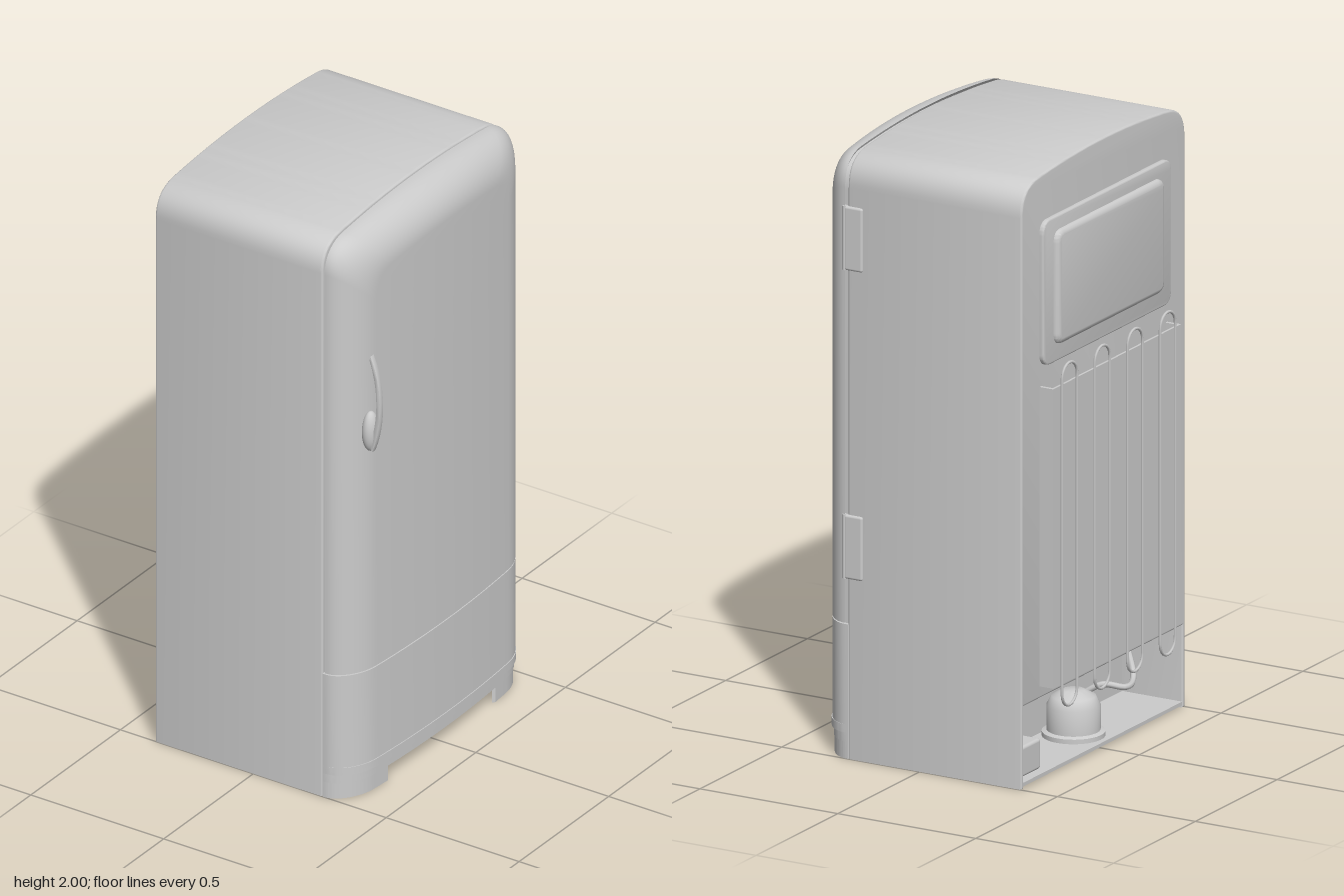
import * as THREE from 'three';
import { toCreasedNormals } from 'three/addons/utils/BufferGeometryUtils.js';
import { RoundedBoxGeometry } from 'three/addons/geometries/RoundedBoxGeometry.js';

const grey = new THREE.MeshStandardMaterial({ color: 0xcccccc, side: THREE.DoubleSide });

export function createModel() {
  const group = new THREE.Group();
  const add = (name, geo, x = 0, y = 0, z = 0) => {
    const m = new THREE.Mesh(geo, grey);
    m.name = name;
    m.position.set(x, y, z);
    group.add(m);
    return m;
  };
  const box = (name, x0, x1, y0, y1, z0, z1, r = 0) => {
    const s = [x1 - x0, y1 - y0, z1 - z0];
    const geo = r ? new RoundedBoxGeometry(...s, 3, r) : new THREE.BoxGeometry(...s);
    return add(name, geo, (x0 + x1) / 2, (y0 + y1) / 2, (z0 + z1) / 2);
  };

  // Arched cabinet outline as [z, y], from the bottom at +z over the top to -z
  const outline = (bottom) => {
    const path = new THREE.Path();
    path.moveTo(0.5, bottom);
    path.lineTo(0.5, 1.87);
    path.quadraticCurveTo(0.5, 1.965, 0.4, 1.978);
    path.quadraticCurveTo(0.2, 2, 0, 2);
    const half = path.getPoints(14);
    const mirrored = half.slice(0, -1).reverse().map((p) => new THREE.Vector2(-p.x, p.y));
    return [...half, ...mirrored];
  };

  // Extrude a z-y shape along x, from x0 to x1
  const extrudeX = (shape, x0, x1, bevel = 0) => {
    const geo = new THREE.ExtrudeGeometry(shape, {
      depth: x1 - x0 - 2 * bevel, bevelEnabled: bevel > 0, bevelSize: bevel,
      bevelThickness: bevel, bevelOffset: -bevel, bevelSegments: 3, curveSegments: 12,
    });
    geo.translate(0, 0, x0 + bevel);
    geo.rotateY(Math.PI / 2);
    return toCreasedNormals(geo, 0.6);
  };

  // Cabinet with an open machine bay underneath
  const bay = [[-0.485, 0], [-0.485, 0.27], [0.485, 0.27], [0.485, 0]].map((p) => new THREE.Vector2(...p));
  add('cabinet', extrudeX(new THREE.Shape([...outline(0), ...bay]), -0.37, 0.26, 0.007));

  // Door seal, set in a little from the cabinet edge
  const sealPoints = outline(0.45).map((p) => new THREE.Vector2(p.x * 0.975, p.y - 0.013));
  add('doorSeal', extrudeX(new THREE.Shape(sealPoints), 0.25, 0.28));

  // Front surface: rounded edge plus a gentle crown across the width
  const edge = (d) => (d < 0.13 ? Math.sqrt(1 - (1 - d / 0.13) ** 2) : 1);
  const frontX = (d, z) => 0.27 + (0.09 + 0.03 * (1 - 4 * z * z)) * edge(d);

  // Door: nested outlines that shrink towards the centre line
  const doorBottom = 0.444;
  const base = outline(doorBottom);
  const height = 2 - doorBottom;
  const insets = [0];
  for (let i = 1; i <= 14; i++) insets.push(0.13 * (1 - Math.cos((i / 14) * Math.PI / 2)));
  for (let i = 1; i <= 10; i++) insets.push(0.13 + 0.037 * i);
  const pos = [], index = [], n = base.length;
  insets.forEach((d, i) => {
    for (const p of base) {
      const z = p.x * (0.5 - d) / 0.5;
      const y = doorBottom + (p.y - doorBottom) * (height - d) / height;
      pos.push(frontX(d, z), y, z);
    }
    if (i === insets.length - 1) return;
    for (let j = 0; j < n - 1; j++) {
      const a = i * n + j, b = a + 1, c = a + n, e = c + 1;
      index.push(a, c, b, b, c, e);
    }
  });
  const door = new THREE.BufferGeometry();
  door.setAttribute('position', new THREE.Float32BufferAttribute(pos, 3));
  door.setIndex(index);
  door.computeVertexNormals();
  add('door', door);

  // Curved plinth bands below the door, as thin shells
  const band = (name, z0, z1, grow, y0, y1) => {
    const outer = [], inner = [];
    for (let i = 0; i <= 64; i++) {
      const t = i / 64;
      const z = z0 + (z1 - z0) * (0.5 - 0.5 * Math.cos(t * Math.PI));
      const x = frontX(0.5 - Math.abs(z), z);
      outer.push(new THREE.Vector2(x + grow, -z));
      inner.push(new THREE.Vector2(x - 0.015, -z * 0.97));
    }
    if (z0 === -0.5) outer.unshift(new THREE.Vector2(0.26, 0.5));
    if (z1 === 0.5) outer.push(new THREE.Vector2(0.26, -0.5));
    const geo = new THREE.ExtrudeGeometry(new THREE.Shape([...outer, ...inner.reverse()]),
      { depth: y1 - y0, bevelEnabled: false });
    geo.rotateX(-Math.PI / 2);
    add(name, toCreasedNormals(geo, 0.6), 0, y0, 0);
  };
  band('plinthPanel', -0.5, 0.5, 0, 0.112, 0.44);
  band('plinthRib', -0.5, 0.5, 0.003, 0.085, 0.112);
  band('plinthGroove', -0.5, 0.5, -0.005, 0.055, 0.085);
  band('plinthFootRight', -0.5, -0.3, -0.008, 0, 0.055);
  band('plinthFootLeft', 0.3, 0.5, -0.008, 0, 0.055);
  box('kickBar', 0.24, 0.29, 0, 0.05, -0.3, 0.3);

  // Door handle: rounded mount and bowed lever
  const mount = add('handleMount', new THREE.SphereGeometry(1, 24, 16), 0.375, 1.3, 0.402);
  mount.scale.set(0.026, 0.07, 0.032);
  const lever = new THREE.Shape();
  lever.moveTo(0.385, 1.575);
  lever.bezierCurveTo(0.432, 1.48, 0.432, 1.33, 0.392, 1.235);
  lever.lineTo(0.378, 1.25);
  lever.bezierCurveTo(0.418, 1.36, 0.412, 1.47, 0.38, 1.56);
  const leverGeo = new THREE.ExtrudeGeometry(lever, {
    depth: 0.014, bevelSize: 0.003, bevelThickness: 0.003, bevelOffset: -0.003, bevelSegments: 2, curveSegments: 20,
  });
  add('handleLever', toCreasedNormals(leverGeo, 0.6), 0, 0, 0.401);

  // Hinges
  for (const y of [0.59, 1.6]) {
    box('hinge', 0.205, 0.272, y, y + 0.21, -0.507, -0.485, 0.008);
    add('hingePin', new THREE.CylinderGeometry(0.008, 0.008, 0.21, 12), 0.272, y + 0.105, -0.499);
  }

  // Rear service panel with a raised centre
  const roundedRect = (w, y0, y1, r) => {
    const s = new THREE.Shape();
    s.moveTo(-w + r, y0);
    s.lineTo(w - r, y0);
    s.quadraticCurveTo(w, y0, w, y0 + r);
    s.lineTo(w, y1 - r);
    s.quadraticCurveTo(w, y1, w - r, y1);
    s.lineTo(-w + r, y1);
    s.quadraticCurveTo(-w, y1, -w, y1 - r);
    s.lineTo(-w, y0 + r);
    s.quadraticCurveTo(-w, y0, -w + r, y0);
    return s;
  };
  add('rearPanel', extrudeX(roundedRect(0.392, 1.355, 1.83, 0.045), -0.385, -0.36, 0.005));
  add('rearPanelRaised', extrudeX(roundedRect(0.33, 1.41, 1.785, 0.04), -0.402, -0.36, 0.018));

  // Condenser sheet with folded sides
  box('condenserSheet', -0.42, -0.412, 0.31, 1.29, -0.385, 0.385);
  for (const s of [-1, 1]) {
    box('condenserSide', -0.42, -0.365, 0.31, 1.29, s * 0.385 - 0.006, s * 0.385 + 0.006);
  }

  // Condenser tube loops
  const loop = (zc) => {
    const pts = [], r = 0.046;
    for (const [yc, start] of [[1.31, 0], [0.28, Math.PI]]) {
      for (let i = 0; i <= 10; i++) {
        const a = start + (i / 10) * Math.PI;
        pts.push(new THREE.Vector3(-0.425, yc + r * Math.sin(a), zc + r * Math.cos(a)));
      }
    }
    const path = new THREE.CurvePath();
    pts.forEach((p, i) => path.add(new THREE.LineCurve3(p, pts[(i + 1) % pts.length])));
    return new THREE.TubeGeometry(path, 160, 0.005, 6, true);
  };
  for (const z of [-0.3, -0.1, 0.1, 0.3]) add('condenserTube', loop(z));

  // Machine bay: tray, divider, compressor and relay box
  box('bayTray', -0.368, -0.14, 0.008, 0.02, -0.485, 0.485);
  box('bayDivider', -0.15, -0.14, 0.008, 0.2, -0.485, 0.485);
  const profile = [[0, 0], [0.1, 0], [0.1, 0.015], [0.085, 0.02], [0.085, 0.1], [0.07, 0.13], [0.035, 0.148], [0, 0.15]];
  const lathe = new THREE.LatheGeometry(profile.map((p) => new THREE.Vector2(...p)), 32);
  add('compressor', toCreasedNormals(lathe, 0.7), -0.25, 0.02, 0.02);
  box('relayBox', -0.34, -0.24, 0.02, 0.12, -0.45, -0.33, 0.01);
  const pipe = new THREE.CatmullRomCurve3([
    new THREE.Vector3(-0.25, 0.14, 0.06), new THREE.Vector3(-0.32, 0.18, 0.08),
    new THREE.Vector3(-0.38, 0.17, 0.12), new THREE.Vector3(-0.36, 0.18, 0.2), new THREE.Vector3(-0.3, 0.28, 0.25),
  ]);
  add('compressorPipe', new THREE.TubeGeometry(pipe, 32, 0.01, 8));

  return group;
}
